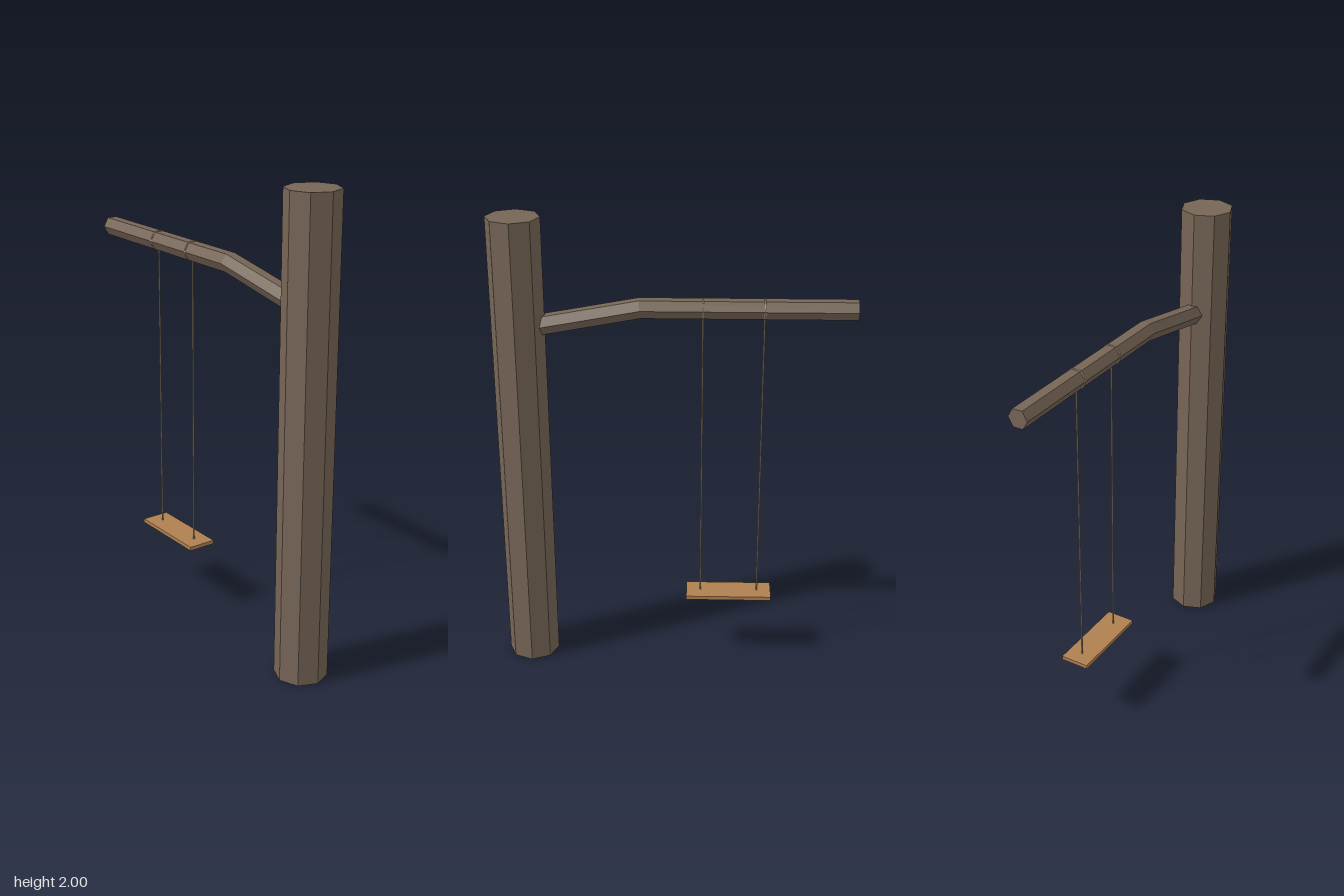
import * as THREE from 'three';

const makeMaterial = (name, color) => {
  const material = new THREE.MeshStandardMaterial({ color });
  material.name = name;
  return material;
};

// Faceted copy of a geometry: every face gets its own normal
const faceted = (geometry) => {
  const flat = geometry.index ? geometry.toNonIndexed() : geometry;
  flat.computeVertexNormals();
  return flat;
};

// Six-sided limb: a level run, a mitred bend, then a slope down into the trunk
function branchGeometry(radius) {
  const geometry = new THREE.CylinderGeometry(radius, radius, 1, 6, 2).rotateZ(Math.PI / 2);
  const stations = [
    { x: -0.745, y: 1.627, lean: 0 },
    { x: 0.135, y: 1.627, lean: 0.09 },
    { x: 0.62, y: 1.538, lean: 0.18 },
  ];
  const p = geometry.attributes.position;
  for (let i = 0; i < p.count; i++) {
    const s = stations[Math.round((p.getX(i) + 0.5) * 2)];
    const offset = p.getY(i);
    p.setXY(i, s.x + s.lean * offset, s.y + offset);
  }
  return geometry;
}

export function createModel() {
  const bark = makeMaterial('bark', 0x766556);
  const plank = makeMaterial('plank', 0xb08050);
  const rope = makeMaterial('rope', 0xb8a888);

  const model = new THREE.Group();
  model.name = 'treeSwing';
  const add = (name, geometry, material, x = 0, y = 0, z = 0) => {
    const mesh = new THREE.Mesh(faceted(geometry), material);
    mesh.name = name;
    mesh.position.set(x, y, z);
    model.add(mesh);
  };

  // Tree
  add('trunk', new THREE.CylinderGeometry(0.11, 0.11, 2, 8), bark, 0.63, 1, 0);
  add('branch', branchGeometry(0.043), bark);

  // Seat
  add('seat', new THREE.BoxGeometry(0.372, 0.017, 0.124), plank, -0.245, 0.304, 0);

  // Ropes, each with a loop round the branch
  const top = 1.6, bottom = 0.305;
  for (const [side, x] of [['right', -0.37], ['left', -0.121]]) {
    add(side + 'Rope', new THREE.CylinderGeometry(0.004, 0.004, top - bottom, 6), rope, x, (top + bottom) / 2, 0);
    add(side + 'RopeLoop', new THREE.TorusGeometry(0.04, 0.004, 6, 16).rotateY(Math.PI / 2), rope, x, 1.627, 0);
  }
  return model;
}
